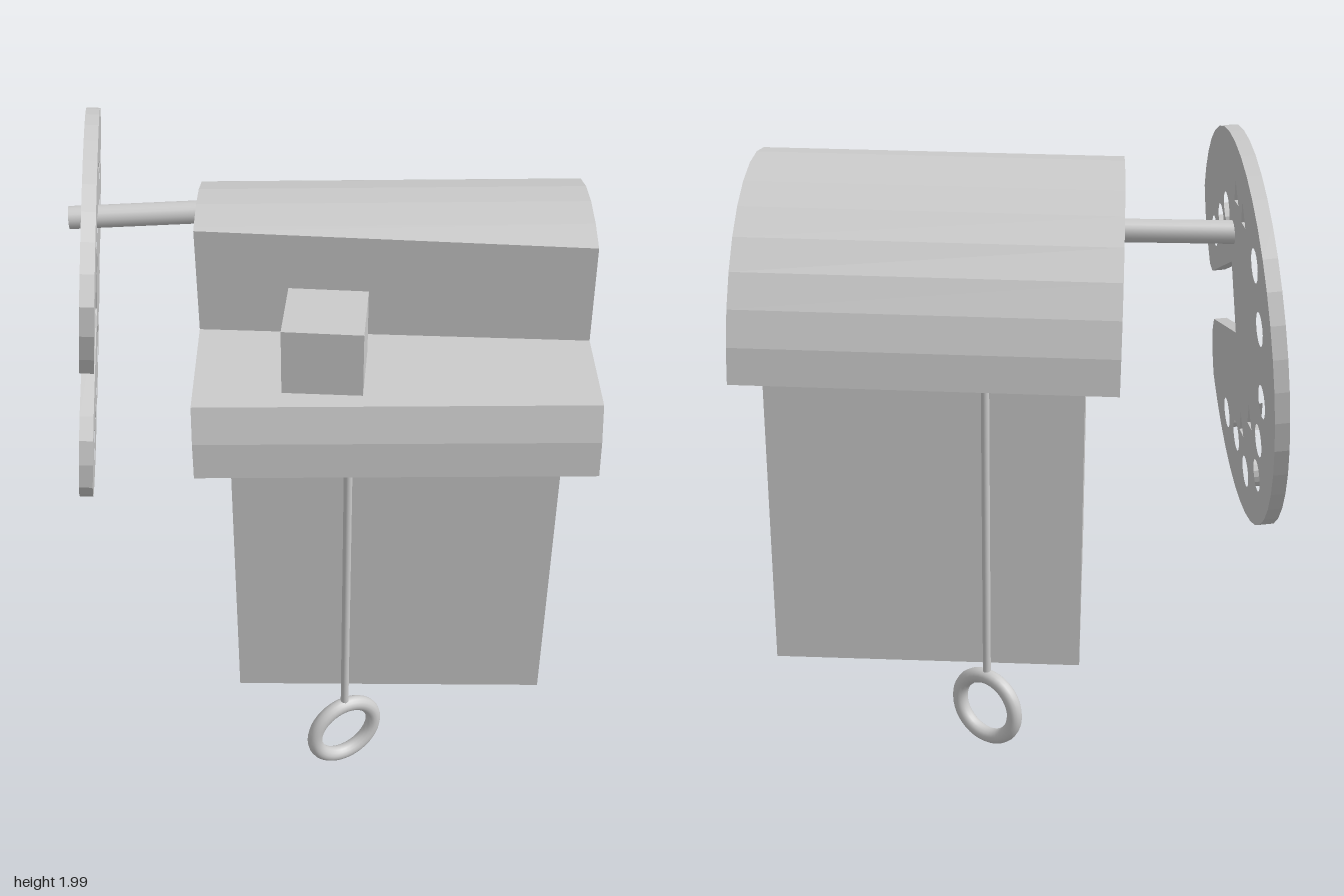
import * as THREE from 'three';

const grey = new THREE.MeshStandardMaterial({ color: 0xcccccc });
const flat = new THREE.MeshStandardMaterial({ color: 0xcccccc, flatShading: true });

function add(parent, name, geometry, material, x = 0, y = 0, z = 0) {
  const mesh = new THREE.Mesh(geometry, material);
  mesh.name = name;
  mesh.position.set(x, y, z);
  parent.add(mesh);
  return mesh;
}

// Extrudes a side profile (shape x = -z, shape y = y) along x, centred
function extrudeAcross(shape, width, curveSegments) {
  const g = new THREE.ExtrudeGeometry(shape, { depth: width, bevelEnabled: false, curveSegments });
  return g.translate(0, 0, -width / 2).rotateY(Math.PI / 2);
}

function roundHole(z, y, r) {
  return new THREE.Path().absarc(-z, y, r, 0, Math.PI * 2, true);
}

function rodBetween(parent, name, a, b, radius) {
  const from = new THREE.Vector3(...a), dir = new THREE.Vector3(...b).sub(from);
  const rod = add(parent, name, new THREE.CylinderGeometry(radius, radius, dir.length(), 20), grey);
  rod.position.copy(from).addScaledVector(dir, 0.5);
  rod.quaternion.setFromUnitVectors(new THREE.Vector3(0, 1, 0), dir.normalize());
}

// Half-round hood with a step cut from its front and a bore running across it
function hoodGeometry() {
  const R = 0.592, wallZ = 0.174, shear = 0.065, step = Math.PI / 16;
  const at = (t) => new THREE.Vector2(-R * Math.cos(t), R * Math.sin(t));
  const points = [at(0), at(step), at(2 * step)];
  points.push(new THREE.Vector2(-wallZ, R * Math.sin(2 * step)), at(Math.acos(wallZ / R)));
  for (let i = 7; i <= 16; i++) points.push(at(i * step));
  const shape = new THREE.Shape(points);
  shape.holes.push(roundHole(-0.1, 0.21, 0.095));
  const g = extrudeAcross(shape, 1.198, 16);

  // The step and the bore run slightly askew to the hood
  const p = g.attributes.position;
  for (let i = 0; i < p.count; i++) {
    const x = p.getX(i), y = p.getY(i), z = p.getZ(i);
    const inside = Math.hypot(y, z) < R - 0.005;
    const crest = !inside && Math.abs(z - wallZ) < 0.002;
    if (!inside && !crest) continue;
    const nz = z + shear * x;
    p.setZ(i, nz);
    if (crest) p.setY(i, Math.sqrt(R * R - nz * nz));
  }
  g.computeVertexNormals();
  return g;
}

// Round disc with a wedge notch at the front and a scatter of small holes
function discGeometry() {
  const R = 0.64, points = [];
  const put = (z, y) => points.push(new THREE.Vector2(-z, y));
  const start = 0.54, end = Math.PI * 2 - 0.6, n = 34;
  for (let i = 0; i <= n; i++) {
    const t = start + ((end - start) * i) / n;
    put(R * Math.cos(t), R * Math.sin(t));
  }
  // Lower lip, notch, upper lip
  [[0.53, -0.27], [0.51, -0.19], [0.46, -0.13], [0, -0.02], [0.03, 0.21],
    [0.45, 0.05], [0.5, 0.06], [0.53, 0.13], [0.555, 0.23]].forEach(([z, y]) => put(z, y));
  const shape = new THREE.Shape(points);

  [[0.09, 0.37], [0.21, 0.3], [0.355, 0.22], [-0.38, 0.32], [-0.43, 0.14], [-0.43, -0.09],
    [-0.35, -0.25], [-0.3, -0.39], [-0.09, -0.47], [0.07, -0.41], [0.25, -0.4]]
    .forEach(([z, y]) => shape.holes.push(roundHole(z, y, 0.052)));
  [[-0.1, 0.47], [-0.21, 0.43], [-0.2, -0.23], [-0.04, -0.32]].forEach(([z, y]) => {
    shape.holes.push(new THREE.Path([
      new THREE.Vector2(-z, y + 0.04), new THREE.Vector2(-z - 0.035, y - 0.035),
      new THREE.Vector2(-z + 0.035, y - 0.035),
    ]));
  });
  return extrudeAcross(shape, 0.044, 8);
}

export function createModel() {
  const model = new THREE.Group();
  model.name = 'boxWithHoodAndDisc';

  // Main body and hood, turned and tipped a little
  const body = add(model, 'body', new THREE.BoxGeometry(1, 1, 1), flat, 0.255, 0.783, 0.04);
  body.rotation.set(0.012, 0.068, 0.003);
  const hood = add(model, 'hood', hoodGeometry(), flat, 0.25, 1.263, 0.061);
  hood.rotation.set(0.01, 0.071, 0.0134);

  // Small block standing on the step
  add(model, 'block', new THREE.BoxGeometry(0.24, 0.24, 0.24), flat, 0.065, 1.573, 0.442);

  // Perforated disc on its axle
  const disc = add(model, 'disc', discGeometry(), flat, -0.755, 1.36, -0.068);
  disc.rotation.set(0, 0.168, -0.086);
  rodBetween(model, 'axle', [-0.8, 1.675, -0.08], [-0.25, 1.686, -0.155], 0.037);

  // Hanging cords with pull rings, front and back
  for (const [side, x, z, turn] of [['front', 0.148, 0.622, 0.56], ['back', 0.022, -0.487, -0.5]]) {
    rodBetween(model, side + 'Cord', [x, 0.26, z], [x, 1.29, z], 0.013);
    const ring = add(model, side + 'Ring', new THREE.TorusGeometry(0.111, 0.025, 14, 40), grey, x, 0.146, z);
    ring.rotation.y = turn;
  }
  return model;
}
